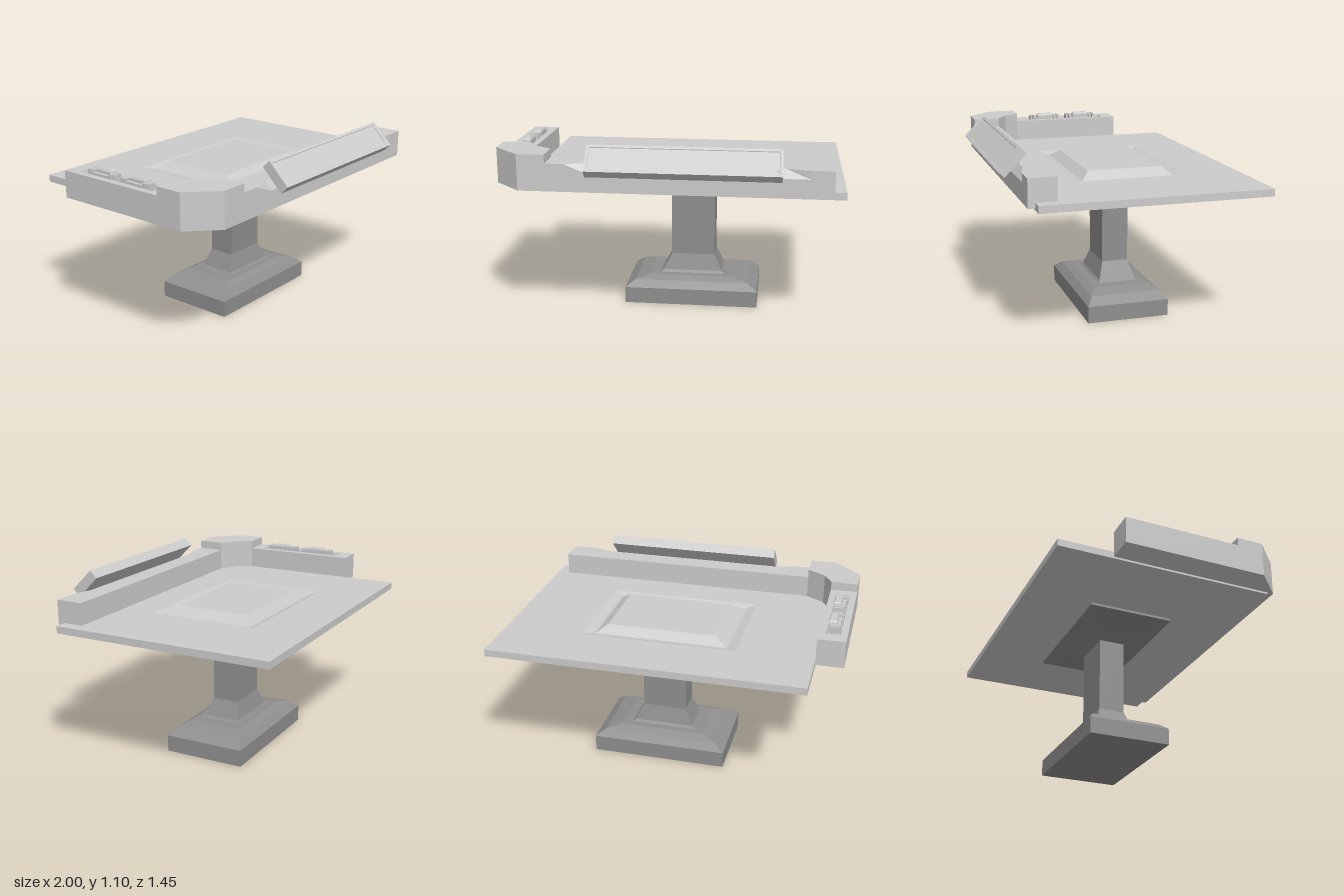
import * as THREE from 'three';

// Skin a series of rings (counterclockwise seen along the travel direction), capped at both ends.
function loft(rings) {
  const pos = [];
  const tri = (a, b, c) => pos.push(...a, ...b, ...c);
  const n = rings[0].length;
  for (let r = 0; r < rings.length - 1; r++) {
    const lo = rings[r], hi = rings[r + 1];
    for (let i = 0; i < n; i++) {
      const j = (i + 1) % n;
      tri(lo[i], lo[j], hi[j]);
      tri(lo[i], hi[j], hi[i]);
    }
  }
  const first = rings[0], last = rings[rings.length - 1];
  for (let i = 1; i < n - 1; i++) {
    tri(first[0], first[i + 1], first[i]);
    tri(last[0], last[i], last[i + 1]);
  }
  const g = new THREE.BufferGeometry();
  g.setAttribute('position', new THREE.Float32BufferAttribute(pos, 3));
  g.computeVertexNormals();
  return g;
}

// Rectangular sections [x0, x1, z0, z1, y]
const rectLoft = (sections) => loft(sections.map(([x0, x1, z0, z1, y]) =>
  [[x0, y, z1], [x1, y, z1], [x1, y, z0], [x0, y, z0]]));

export function createModel() {
  const model = new THREE.Group();
  const lightGrey = new THREE.MeshStandardMaterial({ color: 0xcccccc });
  lightGrey.name = 'lightGrey';
  const darkGrey = new THREE.MeshStandardMaterial({ color: 0x8f8f8f });
  darkGrey.name = 'darkGrey';

  const add = (name, geometry, material = lightGrey, parent = model) => {
    const mesh = new THREE.Mesh(geometry, material);
    mesh.name = name;
    parent.add(mesh);
    return mesh;
  };

  // Pedestal: half width, half depth, height, about its own axis
  const cx = 0.1, cz = -0.068;
  add('pedestal', rectLoft([
    [0.41, 0.247, 0], [0.41, 0.247, 0.1], [0.35, 0.21, 0.143], [0.26, 0.163, 0.166],
    [0.2, 0.122, 0.166], [0.182, 0.11, 0.18], [0.135, 0.08, 0.28], [0.135, 0.08, 0.745],
    [0.225, 0.125, 0.77], [0.44, 0.262, 0.803], [0.44, 0.262, 0.822],
  ].map(([w, d, y]) => [cx - w, cx + w, cz - d, cz + d, y])), darkGrey);

  // Table top with a shallow groove around a bevelled raised panel
  add('tableTop', rectLoft([
    [-0.84, 1, -0.73, 0.58, 0.818], [-0.84, 1, -0.73, 0.58, 0.86],
    [-0.39, 0.53, -0.4, 0.25, 0.86], [-0.335, 0.485, -0.36, 0.21, 0.845],
    [-0.32, 0.465, -0.345, 0.2, 0.845], [-0.25, 0.4, -0.3, 0.15, 0.89],
  ]));

  // Front rail, its upper front edge cut back behind the display
  add('frontRail', loft([[-0.68, 0.62], [-0.57, 0.62], [-0.45, 0.585], [0.66, 0.585], [0.8, 0.62], [0.93, 0.62]]
    .map(([x, z]) => [[x, 0.83, 0.62], [x, 0.83, 0.46], [x, 0.99, 0.46], [x, 0.99, z], [x, 0.94, 0.62]])));

  // Taller corner block joining the two rails
  const corner = new THREE.Shape([
    [-1, 0.3], [-1, 0.46], [-0.84, 0.62], [-0.68, 0.62], [-0.68, 0.46], [-0.79, 0.39], [-0.84, 0.3],
  ].map(([x, z]) => new THREE.Vector2(x, -z)));
  const cornerGeometry = new THREE.ExtrudeGeometry(corner, { depth: 0.21, bevelEnabled: false });
  cornerGeometry.rotateX(-Math.PI / 2).translate(0, 0.83, 0);
  add('cornerBlock', cornerGeometry);

  // Side rail with a sunken tray
  add('sideRail', rectLoft([
    [-1, -0.84, -0.4, 0.3, 0.83], [-1, -0.84, -0.4, 0.3, 0.99],
    [-0.96, -0.88, -0.315, 0.23, 0.99], [-0.955, -0.885, -0.31, 0.225, 0.965],
  ]));

  // Two small devices resting in the tray
  for (const z of [0.09, -0.165]) {
    const device = new THREE.Group();
    device.name = 'trayDevice';
    device.position.set(-0.92, 0, z);
    model.add(device);
    add('deviceBody', new THREE.BoxGeometry(0.05, 0.038, 0.16).translate(-0.005, 0.981, 0), lightGrey, device);
    add('deviceGrip', rectLoft([
      [-0.01, 0.037, -0.055, 0.055, 0.96], [-0.01, 0.037, -0.055, 0.055, 1.015],
      [-0.004, 0.032, -0.045, 0.045, 1.026],
    ]), lightGrey, device);
    for (const s of [-1, 1]) {
      add('deviceCollar', new THREE.BoxGeometry(0.066, 0.05, 0.02).translate(0, 0.988, s * 0.072), lightGrey, device);
      add('deviceEnd', new THREE.BoxGeometry(0.056, 0.05, 0.014).translate(0, 0.988, s * 0.096), lightGrey, device);
    }
  }

  // Tilted display with a shallow inset face
  const display = new THREE.Group();
  display.name = 'display';
  display.position.set(0.1025, 1.0175, 0.641);
  display.rotation.x = Math.PI / 4;
  model.add(display);
  add('displayPanel', rectLoft([
    [-0.5425, 0.5425, -0.088, 0.088, -0.03], [-0.5425, 0.5425, -0.088, 0.088, 0.03],
    [-0.528, 0.528, -0.072, 0.072, 0.03], [-0.525, 0.525, -0.069, 0.069, 0.026],
  ]), lightGrey, display);
  add('displayKey', new THREE.BoxGeometry(0.01, 0.006, 0.1).translate(0.515, 0.028, 0), lightGrey, display);

  return model;
}
